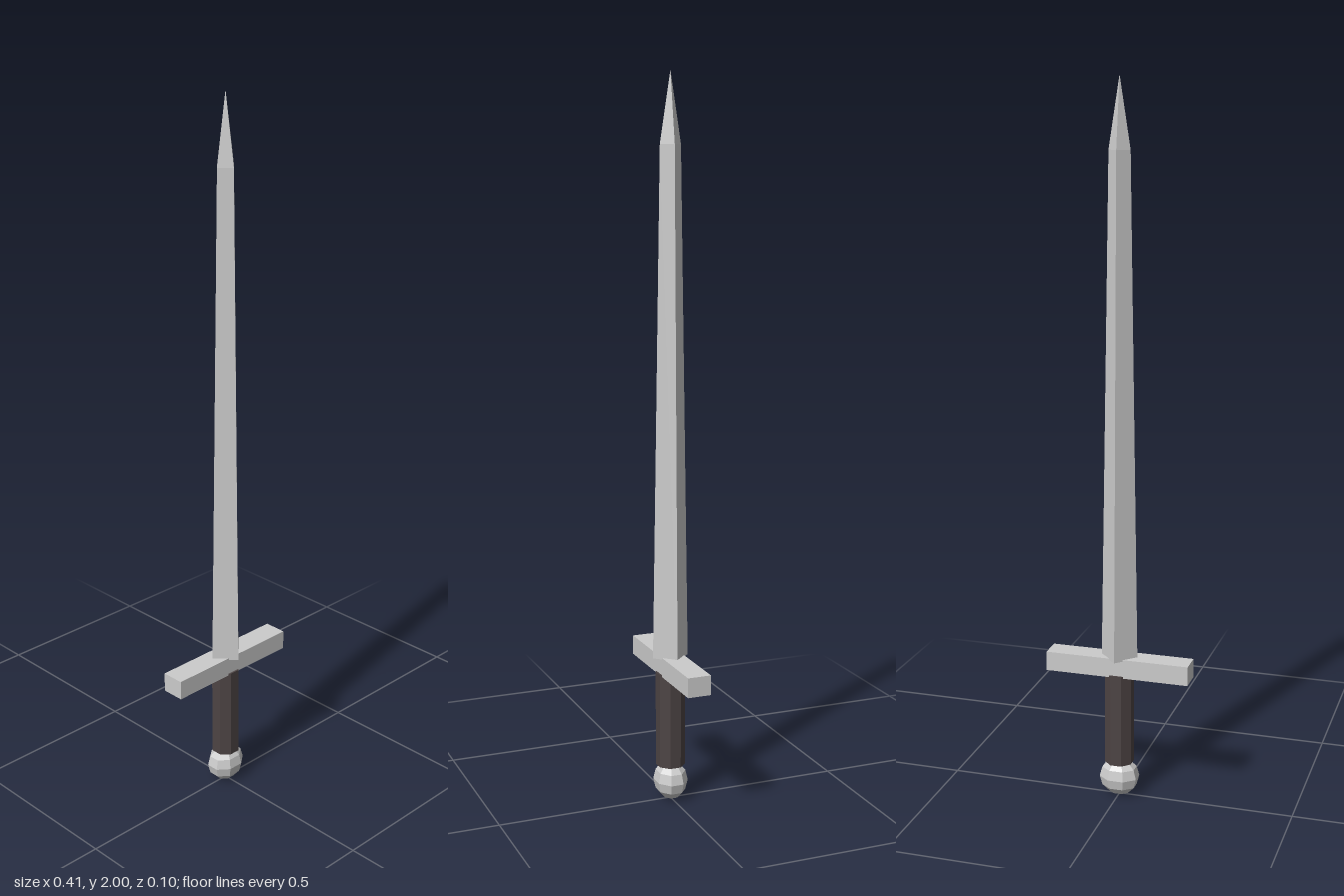
import * as THREE from 'three';

const steel = new THREE.MeshStandardMaterial({ color: 0xcccccc, flatShading: true });
const leather = new THREE.MeshStandardMaterial({ color: 0x4d4444, flatShading: true });

export function createModel() {
  const sword = new THREE.Group();
  sword.name = 'sword';

  function add(name, geometry, y, material = steel) {
    const mesh = new THREE.Mesh(geometry, material);
    mesh.name = name;
    mesh.position.y = y;
    sword.add(mesh);
    return mesh;
  }

  // Blade: diamond section, tapering slowly and then to a sharp point
  const bladeProfile = [[0, 0], [0.052, 0], [0.03, 1.395], [0, 1.585]]
    .map(([r, y]) => new THREE.Vector2(r, y));
  add('blade', new THREE.LatheGeometry(bladeProfile, 4), 0.415);

  // Crossguard: plain bar
  add('crossguard', new THREE.BoxGeometry(0.41, 0.055, 0.066), 0.392);

  // Grip: eight-sided, flats facing front and sides
  const grip = new THREE.CylinderGeometry(0.041, 0.041, 0.27, 8);
  grip.rotateY(Math.PI / 8);
  add('grip', grip, 0.235, leather);

  // Pommel: faceted ball, flattened front to back
  const pommel = new THREE.SphereGeometry(1, 8, 6);
  pommel.rotateY(Math.PI / 8);
  pommel.scale(0.058, 0.055, 0.047);
  add('pommel', pommel, 0.055);

  return sword;
}
